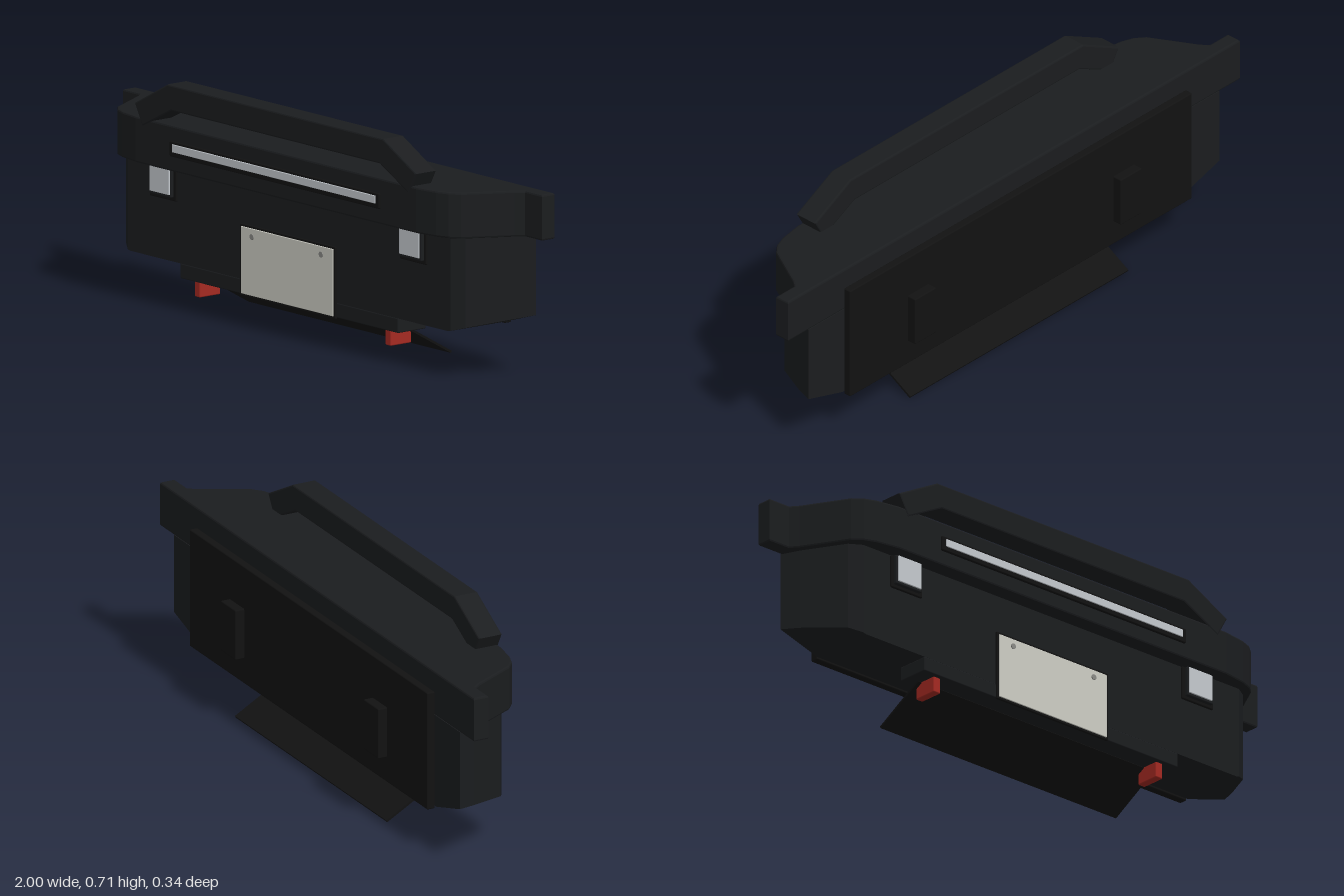
import * as THREE from 'three';
import { RoundedBoxGeometry } from 'three/addons/geometries/RoundedBoxGeometry.js';

const mat = (color) => new THREE.MeshStandardMaterial({ color });

export function createModel() {
  const model = new THREE.Group();
  model.name = 'frontBumper';
  const body = mat(0x1b1d1f), dark = mat(0x121212), lamp = mat(0xc5cacf);
  const red = mat(0xa52a22), plate = mat(0xcfcfc6), steel = mat(0x8a8a86);

  const add = (name, geometry, material) => {
    const mesh = new THREE.Mesh(geometry, material);
    mesh.name = name;
    model.add(mesh);
    return mesh;
  };
  // Box given by its limits on each axis, with softened edges
  const box = (name, [x0, x1], [y0, y1], [z0, z1], material, r = 0.004) => {
    const g = new RoundedBoxGeometry(x1 - x0, y1 - y0, z1 - z0, 2, r);
    g.translate((x0 + x1) / 2, (y0 + y1) / 2, (z0 + z1) / 2);
    return add(name, g, material);
  };
  // Shape closed by mirroring the +x half of an outline
  const mirrored = (half) => new THREE.Shape([
    ...half, ...half.slice().reverse().map(([x, y]) => [-x, y]),
  ].map(([x, y]) => new THREE.Vector2(x, y)));
  const bevelled = (shape, depth, b) => new THREE.ExtrudeGeometry(shape, {
    depth: depth - 2 * b, bevelEnabled: true, bevelThickness: b, bevelSize: b,
    bevelOffset: -b, bevelSegments: 2,
  }).translate(0, 0, b);

  // Upper beam: plan outline with swept corners and thin wing tips
  const plan = [[1, -0.11], [1, -0.06], [0.92, -0.06], [0.9, -0.035], [0.82, 0.11],
    [0.79, 0.135], [0.75, 0.15], [0.67, 0.163]];
  const upper = bevelled(mirrored(plan.map(([x, z]) => [x, -z])), 0.143, 0.006);
  upper.rotateX(-Math.PI / 2).translate(0, 0.442, 0);
  add('upperBeam', upper, body);

  // Lower body: front profile narrowed towards the front, underside rising outwards
  const stations = [[-0.11, 0.91], [-0.05, 0.885], [0.085, 0.81], [0.11, 0.77]];
  const lower = new THREE.ExtrudeGeometry(
    mirrored([[0.76, 0.146], [0.91, 0.191], [0.91, 0.443]]),
    { depth: 3, steps: 3, bevelEnabled: false });
  const p = lower.attributes.position;
  for (let i = 0; i < p.count; i++) {
    const [z, w] = stations[Math.round(p.getZ(i))];
    const x = Math.min(Math.abs(p.getX(i)), w);
    const y = p.getY(i) > 0.4 ? 0.443 : 0.146 + Math.max(0, x - 0.76) * 0.3;
    p.setXYZ(i, Math.sign(p.getX(i)) * x, y, z);
  }
  lower.computeVertexNormals();
  add('lowerBody', lower, body);

  // Top guard hoop with bent-down ends
  const hoop = bevelled(mirrored([[0.497, 0.63], [0.635, 0.56], [0.673, 0.627], [0.515, 0.71]]), 0.08, 0.005);
  add('guardHoop', hoop.translate(0, 0, 0.085), body);

  // Light bar set in the upper beam
  box('lightBarFrame', [-0.5, 0.5], [0.49, 0.538], [0.15, 0.17], dark);
  box('lightBarLens', [-0.485, 0.485], [0.505, 0.53], [0.16, 0.173], lamp, 0.002);

  // Number plate with blank face
  box('plateFrame', [-0.228, 0.228], [0.097, 0.32], [0.108, 0.117], dark, 0.002);
  box('plateFace', [-0.22, 0.22], [0.104, 0.313], [0.112, 0.12], plate, 0.002);

  // Lower lip, sloping skid plate and rear mounting panel
  box('lowerLip', [-0.52, 0.52], [0.1, 0.147], [0.001, 0.111], body);
  const skid = add('skidPlate', new THREE.BoxGeometry(0.965, 0.007, 0.197), dark);
  skid.position.set(0, 0.0525, -0.045);
  skid.rotation.x = -Math.atan2(0.097, 0.17);
  box('rearPanel', [-0.757, 0.757], [0.14, 0.522], [-0.14, -0.113], dark);

  // Paired parts
  for (const [side, s] of [['left', 1], ['right', -1]]) {
    const span = (a, b) => (s > 0 ? [a, b] : [-b, -a]);
    box(side + 'LampFrame', span(0.533, 0.66), [0.335, 0.443], [0.1, 0.116], dark);
    box(side + 'LampHousing', span(0.545, 0.65), [0.346, 0.443], [0.1, 0.127], body);
    box(side + 'LampLens', span(0.549, 0.643), [0.355, 0.44], [0.11, 0.131], lamp, 0.002);
    box(side + 'TowHook', span(0.442, 0.469), [0.05, 0.104], [0.015, 0.097], red);
    box(side + 'RearMount', span(0.408, 0.502), [0.222, 0.385], [-0.171, -0.108], dark);
    const bolt = new THREE.CylinderGeometry(0.009, 0.009, 0.006, 16).rotateX(Math.PI / 2);
    add(side + 'PlateBolt', bolt, steel).position.set(s * 0.165, 0.288, 0.12);
  }
  return model;
}
